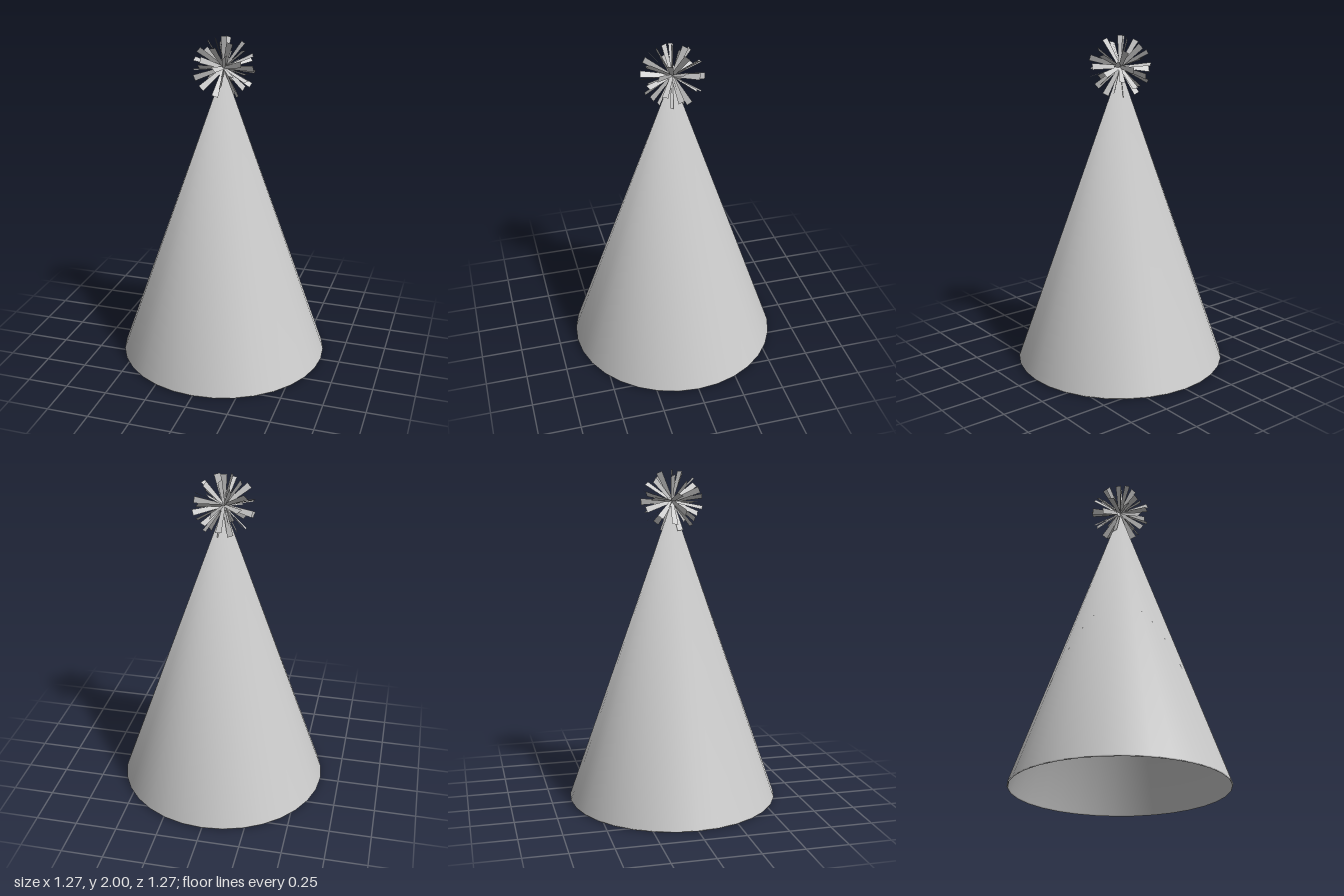
import * as THREE from 'three';
import { mergeVertices } from 'three/addons/utils/BufferGeometryUtils.js';

const material = new THREE.MeshStandardMaterial({ color: 0xcccccc, side: THREE.DoubleSide });
const TUFT_Y = 1.815;
const STRIP_LENGTH = 0.184;

// Thin hollow cone, 32 sides, with normals blended over the tip and the rim
function createCone() {
  const profile = [[0, 1.795], [0.626, 0.008], [0.63, 0], [0.635, 0.008], [0, 1.815]]
    .map(([x, y]) => new THREE.Vector2(x, y));
  let geometry = new THREE.LatheGeometry(profile, 32);
  geometry.deleteAttribute('uv');
  geometry.deleteAttribute('normal');
  geometry = mergeVertices(geometry, 1e-5);
  geometry.computeVertexNormals();
  const cone = new THREE.Mesh(geometry, material);
  cone.name = 'hatCone';
  return cone;
}

// Flat paper strip, rooted at the origin and widening a little along +y
function createStripGeometry() {
  const shape = new THREE.Shape([
    new THREE.Vector2(-0.009, 0), new THREE.Vector2(0.009, 0),
    new THREE.Vector2(0.019, STRIP_LENGTH), new THREE.Vector2(-0.019, STRIP_LENGTH),
  ]);
  return new THREE.ShapeGeometry(shape);
}

// Strips spread evenly over a sphere, each twisted about its own length
function createTuft(count) {
  const tuft = new THREE.Group();
  tuft.name = 'tuft';
  const geometry = createStripGeometry();
  const up = new THREE.Vector3(0, 1, 0);
  for (let i = 0; i < count; i++) {
    const y = 1 - (2 * i) / (count - 1);
    const r = Math.sqrt(Math.max(0, 1 - y * y));
    const angle = i * Math.PI * (3 - Math.sqrt(5));
    const direction = new THREE.Vector3(r * Math.cos(angle), y, r * Math.sin(angle));
    const strip = new THREE.Mesh(geometry, material);
    strip.name = 'tuftStrip';
    strip.quaternion.setFromUnitVectors(up, direction);
    strip.rotateY(i * 2.1);
    tuft.add(strip);
  }
  tuft.position.y = TUFT_Y;
  return tuft;
}

export function createModel() {
  const model = new THREE.Group();
  model.name = 'partyHat';
  model.add(createCone(), createTuft(46));
  return model;
}
